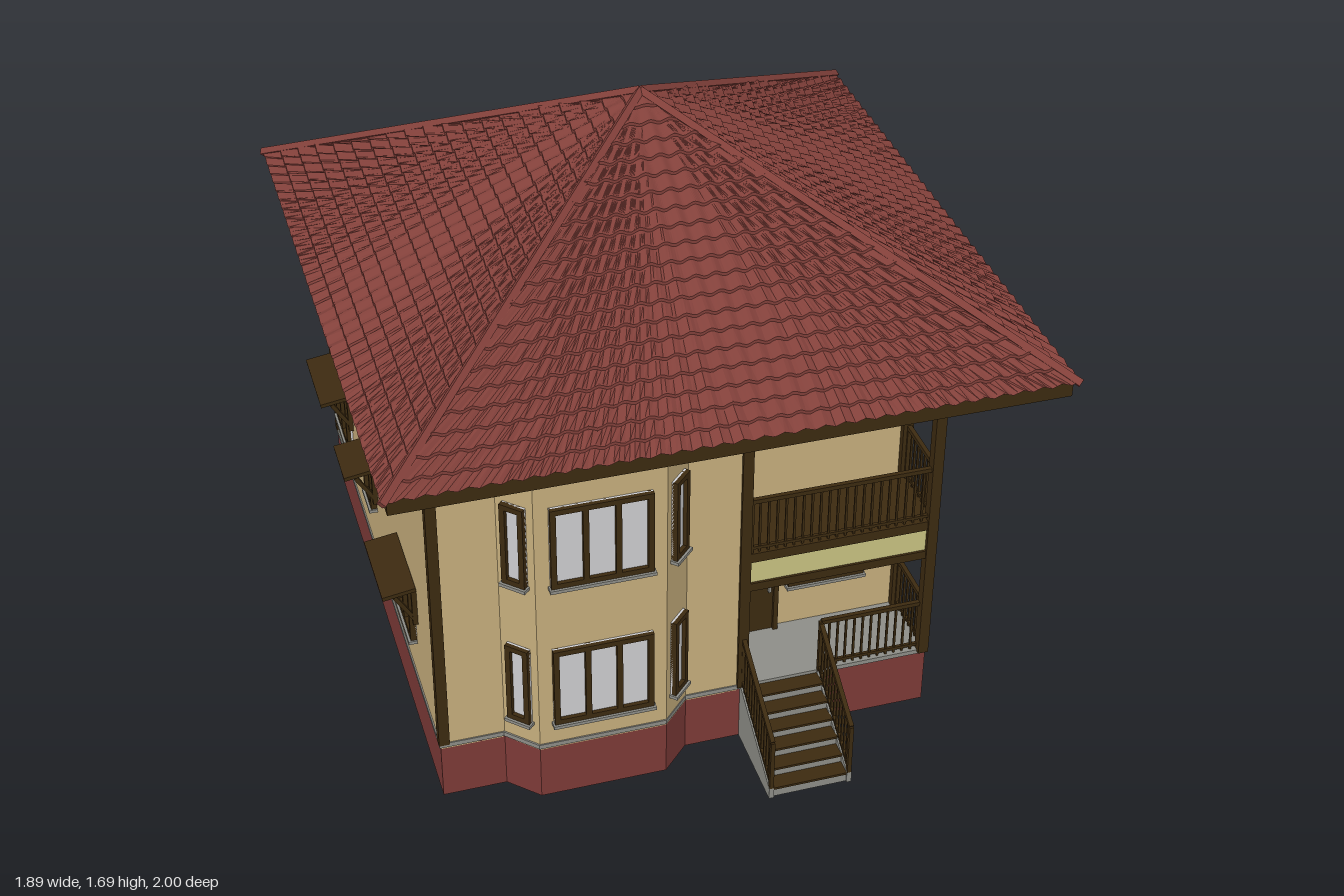
import * as THREE from 'three';

const mat = (name, color) => Object.assign(new THREE.MeshStandardMaterial({ color }), { name });

export function createModel() {
  const tan = mat('wallTan', 0xc6ae7c), red = mat('plinthRed', 0x7c3a37), tile = mat('roofRed', 0x82403a);
  const brown = mat('darkWood', 0x3c2a10), cream = mat('balconyYellow', 0xc9c282);
  const grey = mat('concreteGrey', 0x8d8d87), glass = mat('paleGlass', 0xcdcdd0);
  const house = new THREE.Group();
  house.name = 'house';
  const V = (x, y, z) => new THREE.Vector3(x, y, z);
  const add = (name, geo, m, parent = house) => {
    const mesh = new THREE.Mesh(geo, m);
    mesh.name = name;
    parent.add(mesh);
    return mesh;
  };
  const group = (name, parent = house) => {
    const g = new THREE.Group();
    g.name = name;
    parent.add(g);
    return g;
  };
  // box given by its limits on each axis
  const box = (name, m, x0, x1, y0, y1, z0, z1, parent) => {
    const b = add(name, new THREE.BoxGeometry(x1 - x0, y1 - y0, z1 - z0), m, parent);
    b.position.set((x0 + x1) / 2, (y0 + y1) / 2, (z0 + z1) / 2);
    return b;
  };
  // square bar between two points
  const bar = (name, p, q, t, m, parent) => {
    const d = q.clone().sub(p);
    const b = add(name, new THREE.BoxGeometry(t, d.length(), t), m, parent);
    b.position.copy(p).add(q).multiplyScalar(0.5);
    b.quaternion.setFromUnitVectors(V(0, 1, 0), d.normalize());
    return b;
  };
  // floor outline [x, z] raised between two heights
  const prism = (name, pts, y0, y1, m) => {
    const shape = new THREE.Shape(pts.map(([x, z]) => new THREE.Vector2(x, -z)));
    const geo = new THREE.ExtrudeGeometry(shape, { depth: y1 - y0, bevelEnabled: false });
    const p = add(name, geo.rotateX(-Math.PI / 2), m);
    p.position.y = y0;
    return p;
  };

  // walls, ground slab and hollow plinth
  const bay = [[-0.1, 0.73], [-0.18, 0.81], [-0.54, 0.81], [-0.62, 0.73], [-0.8, 0.73], [-0.8, -0.84]];
  prism('walls', [[0.615, -0.84], [0.615, 0.51], [0.065, 0.51], [0.065, 0.73], ...bay], 0.17, 1.1, tan);
  const base = [[0.695, -0.84], [0.695, -0.33], [0.62, -0.33], [0.62, 0.73], ...bay];
  prism('groundSlab', base, 0.176, 0.19, grey).scale.set(1.005, 1, 1.005);
  const plinth = group('plinth');
  const plinthRun = ([ax, az], [bx, bz], t = 0.035) => {
    const run = group('plinthRun', plinth), len = Math.hypot(bx - ax, bz - az);
    run.position.set(ax, 0, az);
    run.rotation.y = Math.atan2(-(bz - az), bx - ax);
    box('plinthWall', red, 0, len, 0, 0.18, -t, 0, run);
  };
  base.forEach((p, i) => {
    // each strip lies on the inner side of its edge
    plinthRun(base[(i + 1) % base.length], p);
  });
  for (const c of plinth.children) c.children[0].position.z *= -1;
  plinth.children.forEach((c) => {
    // flip any strip that fell outside the outline
    const probe = c.children[0].position.clone().applyEuler(c.rotation).add(c.position);
    let inside = false;
    base.forEach(([x1, z1], i) => {
      const [x2, z2] = base[(i + 1) % base.length];
      if ((z1 > probe.z) !== (z2 > probe.z) && probe.x < ((x2 - x1) * (probe.z - z1)) / (z2 - z1) + x1) inside = !inside;
    });
    if (!inside) c.children[0].position.z *= -1;
  });
  for (const [x0, x1, z0, z1] of [[-0.1, -0.07, -0.82, -0.34], [-0.78, 0.01, -0.16, -0.13],
    [-0.36, -0.33, -0.55, -0.14], [0.05, 0.08, 0.5, 0.71], [0.35, 0.6, 0.49, 0.52]])
    box('innerFooting', red, x0, x1, 0, 0.17, z0, z1, plinth);
  box('rearFloorPatch', grey, -0.07, 0.6, 0.164, 0.169, -0.8, -0.34);

  // corner posts
  for (const [x, z] of [[-0.79, 0.72], [-0.79, -0.828], [0.608, -0.828], [0.608, 0.73], [0.608, 0.515], [0.065, 0.725]])
    box('cornerPost', brown, x - 0.015, x + 0.015, 0.185, 1.1, z - 0.015, z + 0.015);

  // tiled hip roof: four wavy, stepped faces around the apex
  const roof = group('roof');
  roof.position.z = -0.055;
  const R = 0.935, courses = 20, seg = 136, rows = courses * 2;
  for (let k = 0; k < 4; k++) {
    const plane = new THREE.PlaneGeometry(1, 1, seg, rows - 1), p = plane.attributes.position;
    for (let i = 0; i < p.count; i++) {
      const r = rows - 1 - Math.floor(i / (seg + 1)), edge = r % 2;
      const t = (Math.floor(r / 2) + edge) / courses, x = p.getX(i) * 2 * R * (1 - t);
      const wave = 0.005 * Math.cos((x * Math.PI * 2) / 0.055) * Math.min(1, (1 - t) * 8);
      p.setXYZ(i, x, 1.138 + 0.54 * t + (edge ? 0 : 0.009) + wave, R * (1 - t));
    }
    const flat = plane.toNonIndexed();
    flat.computeVertexNormals();
    add('roofFace', flat, tile, roof).rotation.y = (k * Math.PI) / 2;
    const sx = k % 2 ? 1 : -1, sz = k < 2 ? 1 : -1;
    bar('hipRidge', V(sx * R, 1.143, sz * R), V(0, 1.68, 0), 0.02, tile, roof);
  }
  box('fascia', brown, -0.92, 0.92, 1.096, 1.14, -0.92, 0.92, roof);
  box('soffit', tan, -0.89, 0.89, 1.09, 1.097, -0.89, 0.89, roof);

  // wall frames: local x runs along the wall, local z points outward
  const face = (name, x, z, angle) => {
    const g = group(name);
    g.position.set(x, 0, z);
    g.rotation.y = angle;
    return g;
  };
  const windowAt = (wall, x0, x1, y0, y1, panes) => {
    const g = group('window', wall), t = 0.016, step = (x1 - x0 - t) / panes;
    box('glass', glass, x0, x1, y0, y1, 0, 0.006, g);
    for (const y of [y0, y1 - t]) box('frameRail', brown, x0, x1, y, y + t, 0, 0.018, g);
    for (let i = 0; i <= panes; i++)
      box('frameStile', brown, x0 + i * step, x0 + i * step + t, y0, y1, 0, 0.018, g);
    box('sill', grey, x0 - 0.005, x1 + 0.005, y0 - 0.01, y0, 0, 0.025, g);
  };
  const hoodAt = (wall, x0, x1, y) => {
    const g = group('windowHood', wall);
    const top = box('hoodBoard', brown, x0, x1, y - 0.004, y + 0.008, 0, 0.095, g);
    top.rotation.x = 0.15;
    for (const x of [x0 + 0.01, x1 - 0.01]) {
      box('bracketPost', brown, x - 0.007, x + 0.007, y - 0.115, y, 0, 0.014, g);
      bar('bracketStrut', V(x, y - 0.095, 0.008), V(x, y - 0.01, 0.06), 0.012, brown, g);
    }
  };
  const doorAt = (wall, x0, x1, y0, y1, glazed) => {
    const g = group('door', wall);
    box('doorLeaf', brown, x0, x1, y0, y1, 0, 0.012, g);
    for (const x of [x0, x1 - 0.014]) box('doorJamb', brown, x, x + 0.014, y0, y1, 0, 0.022, g);
    box('doorHead', brown, x0, x1, y1 - 0.016, y1, 0, 0.022, g);
    if (glazed) box('doorGlass', glass, x0 + 0.028, x1 - 0.028, y0 + 0.04, y1 - 0.03, 0.01, 0.016, g);
    else box('doorHandle', grey, x1 - 0.03, x1 - 0.022, y0 + 0.14, y0 + 0.17, 0.01, 0.022, g);
  };

  // bay windows on both floors
  const bayFront = face('bayFront', -0.36, 0.81, 0);
  const baySides = [face('bayRight', -0.58, 0.77, -Math.PI / 4), face('bayLeft', -0.14, 0.77, Math.PI / 4)];
  for (const y of [0.265, 0.735]) {
    windowAt(bayFront, -0.14, 0.14, y, y + 0.255, 3);
    for (const side of baySides) windowAt(side, -0.035, 0.035, y, y + 0.255, 1);
  }

  // recessed entrance
  const entry = face('entranceWall', 0, 0.51, 0);
  doorAt(entry, 0.085, 0.24, 0.19, 0.525, false);
  windowAt(entry, 0.27, 0.5, 0.335, 0.515, 2);
  doorAt(face('balconySideWall', 0.065, 0, Math.PI / 2), -0.67, -0.53, 0.657, 0.99, false);

  // left side (+x): local x = -z
  const left = face('leftWall', 0.615, 0, Math.PI / 2);
  windowAt(left, -0.4, -0.28, 0.81, 0.99, 1);
  windowAt(left, -0.2, -0.08, 0.855, 0.99, 1);
  windowAt(left, 0.07, 0.19, 0.855, 0.99, 1);
  windowAt(left, -0.02, 0.21, 0.335, 0.52, 2);
  hoodAt(left, -0.425, -0.055, 1.01);
  hoodAt(left, 0.045, 0.215, 1.01);
  hoodAt(left, -0.045, 0.24, 0.545);
  doorAt(left, 0.33, 0.475, 0.19, 0.52, true);
  doorAt(left, 0.33, 0.475, 0.657, 0.99, true);

  // back: local x = -x
  const back = face('backWall', 0, -0.84, Math.PI);
  windowAt(back, -0.33, -0.075, 0.735, 0.99, 3);
  windowAt(back, -0.29, -0.1, 0.37, 0.52, 2);
  hoodAt(back, -0.355, -0.045, 1.01);
  hoodAt(back, -0.32, -0.07, 0.54);
  // right side (-x): local x = z
  const right = face('rightWall', -0.8, 0, -Math.PI / 2);
  for (const d of [0, -0.47]) {
    windowAt(back, 0.16, 0.265, 0.855 + d, 0.99 + d, 1);
    windowAt(back, 0.35, 0.48, 0.81 + d, 0.99 + d, 1);
    hoodAt(back, 0.125, 0.515, 1.01 + d);
    windowAt(right, -0.69, -0.49, 0.81 + d, 0.99 + d, 2);
    windowAt(right, -0.21, -0.1, 0.86 + d, 0.99 + d, 1);
    windowAt(right, 0.27, 0.46, 0.81 + d, 0.99 + d, 2);
    for (const [a, b] of [[-0.72, -0.46], [-0.24, -0.07], [0.24, 0.5]]) hoodAt(right, a, b, 1.01 + d);
  }

  // railing of balusters between two base points, level or sloping
  const railing = (name, a, b, h) => {
    const g = group(name), up = V(0, h, 0), n = Math.round(a.distanceTo(b) / 0.025);
    bar('handrail', a.clone().add(up), b.clone().add(up), 0.013, brown, g);
    bar('footrail', a.clone().add(V(0, 0.015, 0)), b.clone().add(V(0, 0.015, 0)), 0.009, brown, g);
    for (let i = 0; i <= n; i++) {
      const p = a.clone().lerp(b, i / n);
      bar('baluster', p, p.clone().add(up), i % n ? 0.006 : 0.012, brown, g);
    }
  };
  // balconies: pale band between two dark edge boards
  for (const [x0, x1, z0, z1] of [[0.075, 0.625, 0.5, 0.74], [0.61, 0.85, -0.84, -0.298]]) {
    const g = group('balcony');
    box('balconyBand', cream, x0 + 0.005, x1 - 0.007, 0.55, 0.63, z0 + 0.007, z1 - 0.007, g);
    box('upperEdge', brown, x0, x1, 0.627, 0.657, z0, z1, g);
    box('lowerEdge', brown, x0, x1, 0.528, 0.554, z0, z1, g);
    box('balconyUnderside', tan, x0 + 0.025, x1 - 0.025, 0.523, 0.529, z0 + 0.025, z1 - 0.025, g);
  }
  railing('frontBalconyRailing', V(0.08, 0.657, 0.73), V(0.6, 0.657, 0.73), 0.172);
  railing('frontBalconySideRailing', V(0.61, 0.657, 0.72), V(0.61, 0.657, 0.53), 0.172);
  railing('sideBalconyRailing', V(0.842, 0.657, -0.305), V(0.842, 0.657, -0.832), 0.172);
  for (const z of [-0.305, -0.832]) railing('sideBalconyEndRailing', V(0.625, 0.657, z), V(0.842, 0.657, z), 0.172);
  railing('porchRailing', V(0.3, 0.19, 0.722), V(0.6, 0.19, 0.722), 0.165);
  railing('porchSideRailing', V(0.61, 0.19, 0.72), V(0.61, 0.19, 0.53), 0.165);

  // plain grey rails of the side porch
  for (const y of [0.215, 0.285, 0.355]) {
    bar('sidePorchRail', V(0.69, y, -0.33), V(0.69, y, -0.835), 0.007, grey);
    bar('sidePorchEndRail', V(0.62, y, -0.835), V(0.69, y, -0.835), 0.007, grey);
  }

  // front stairs with stringers and sloping railings
  const stairs = group('stairs'), steps = 6, run = 0.26 / steps;
  for (let i = 0; i < steps; i++) {
    const z = 0.735 + i * run, y = 0.18 - i * 0.029;
    box('step', grey, 0.072, 0.29, y - 0.034, y - 0.007, z, z + run, stairs);
    box('tread', brown, 0.072, 0.29, y - 0.007, y, z - 0.004, z + run + 0.004, stairs);
  }
  const side = new THREE.Shape([[-1, 0], [-0.73, 0], [-0.73, 0.19], [-1, 0.035]].map(([a, b]) => new THREE.Vector2(a, b)));
  for (const x of [0.06, 0.288]) {
    const s = add('stringer', new THREE.ExtrudeGeometry(side, { depth: 0.014, bevelEnabled: false }), grey, stairs);
    s.rotation.y = Math.PI / 2;
    s.position.x = x;
    railing('stairRailing', V(x + 0.007, 0.19, 0.735), V(x + 0.007, 0.035, 0.994), 0.165);
  }
  return house;
}
